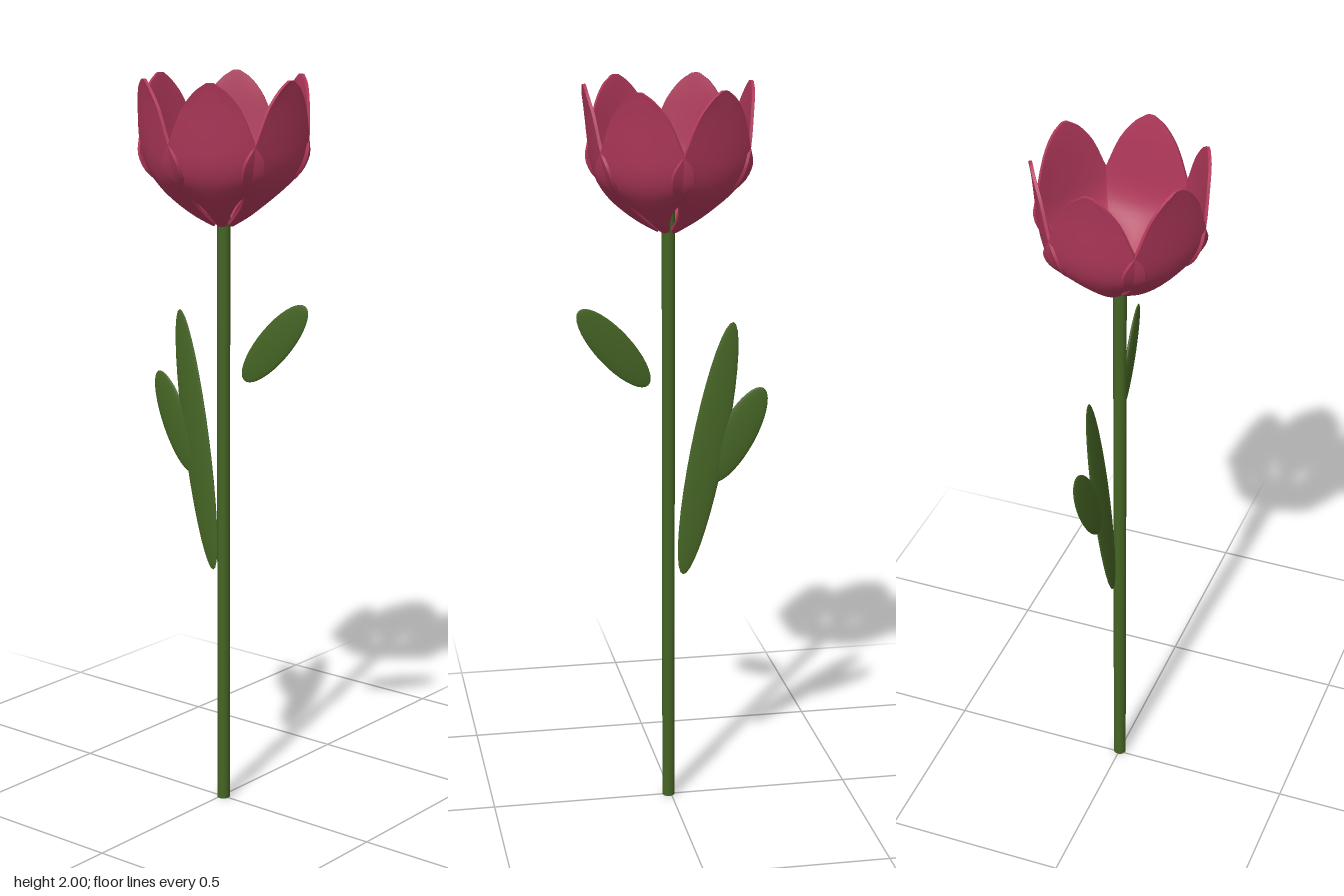
import * as THREE from 'three';
import { toCreasedNormals } from 'three/addons/utils/BufferGeometryUtils.js';

const V = (x, y, z) => new THREE.Vector3(x, y, z);

// Cupped petal with thickness: x points outward, y up, z across
function petalGeometry() {
  const middle = new THREE.CatmullRomCurve3([
    V(0.03, 1.611, 0), V(0.075, 1.636, 0), V(0.118, 1.667, 0), V(0.157, 1.703, 0), V(0.186, 1.745, 0),
    V(0.2, 1.79, 0), V(0.206, 1.84, 0), V(0.214, 1.93, 0), V(0.22, 1.98, 0), V(0.223, 2, 0),
  ]);
  const edge = new THREE.CatmullRomCurve3([
    V(0.029, 1.616, 0.014), V(0.07, 1.65, 0.03), V(0.105, 1.682, 0.052), V(0.138, 1.715, 0.086), V(0.164, 1.755, 0.124),
    V(0.181, 1.797, 0.133), V(0.195, 1.84, 0.113), V(0.21, 1.93, 0.077), V(0.22, 1.977, 0.041), V(0.223, 1.998, 0.011),
  ]);
  const rows = 27, cols = 12, thickness = 0.008, loop = 2 * (cols + 1);
  const positions = [], index = [];
  for (let i = 0; i <= rows; i++) {
    const t = i / rows;
    const m = middle.getPoint(t), e = edge.getPoint(t), tan = middle.getTangent(t);
    for (let k = 0; k < loop; k++) {
      const inner = k > cols;
      const u = ((inner ? loop - 1 - k : k) / cols) * 2 - 1;
      const off = inner ? thickness : 0;
      positions.push(
        THREE.MathUtils.lerp(m.x, e.x, u * u) - tan.y * off,
        Math.min(2, THREE.MathUtils.lerp(m.y, e.y, u * u) + tan.x * off),
        e.z * u
      );
    }
  }
  for (let i = 0; i < rows; i++) {
    for (let k = 0; k < loop; k++) {
      const a = i * loop + k, b = i * loop + ((k + 1) % loop);
      index.push(a, a + loop, b, b, a + loop, b + loop);
    }
  }
  // base and tip caps
  const last = rows * loop;
  for (let j = 0; j < cols; j++) {
    const p = j, q = j + 1, r = loop - 2 - j, s = loop - 1 - j;
    index.push(p, q, r, p, r, s);
    index.push(last + p, last + r, last + q, last + p, last + s, last + r);
  }
  const g = new THREE.BufferGeometry();
  g.setAttribute('position', new THREE.Float32BufferAttribute(positions, 3));
  g.setIndex(index);
  return toCreasedNormals(g, Math.PI / 4);
}

export function createModel() {
  const model = new THREE.Group();
  model.name = 'tulip';
  const petalRed = new THREE.MeshStandardMaterial({ name: 'petalRed', color: 0xb0385a });
  const leafGreen = new THREE.MeshStandardMaterial({ name: 'leafGreen', color: 0x456424 });
  const axisX = 0.007;

  // stem
  const stem = new THREE.Mesh(new THREE.CylinderGeometry(0.0175, 0.0175, 1.69, 20), leafGreen);
  stem.name = 'stem';
  stem.position.set(axisX, 0.845, 0);
  model.add(stem);

  // six petals around the stem
  const flower = new THREE.Group();
  flower.name = 'flower';
  flower.position.x = axisX;
  const petalGeo = petalGeometry();
  for (let i = 0; i < 6; i++) {
    const petal = new THREE.Mesh(petalGeo, petalRed);
    petal.name = 'petal' + (i + 1);
    petal.rotation.y = (i * Math.PI) / 3;
    flower.add(petal);
  }
  model.add(flower);

  // leaves: flattened ellipsoids running from base to tip
  const leafGeo = new THREE.SphereGeometry(1, 28, 18);
  function addLeaf(name, base, tip, width, facing) {
    const along = tip.clone().sub(base);
    const length = along.length();
    along.normalize();
    const across = along.clone().cross(facing).normalize();
    const normal = across.clone().cross(along);
    const leaf = new THREE.Mesh(leafGeo, leafGreen);
    leaf.name = name;
    leaf.position.copy(base).add(tip).multiplyScalar(0.5);
    leaf.quaternion.setFromRotationMatrix(new THREE.Matrix4().makeBasis(across, along, normal));
    leaf.scale.set(width / 2, length / 2, 0.008);
    model.add(leaf);
  }
  addLeaf('longLeaf', V(-0.033, 0.656, -0.004), V(-0.165, 1.365, -0.022), 0.094, V(-0.05, 0, 1));
  addLeaf('rightLeaf', V(-0.11, 0.92, -0.01), V(-0.247, 1.182, -0.027), 0.1, V(-0.08, 0, 1));
  addLeaf('leftLeaf', V(0.064, 1.2, -0.015), V(0.252, 1.416, -0.038), 0.096, V(0.1, 0, 1));

  return model;
}
